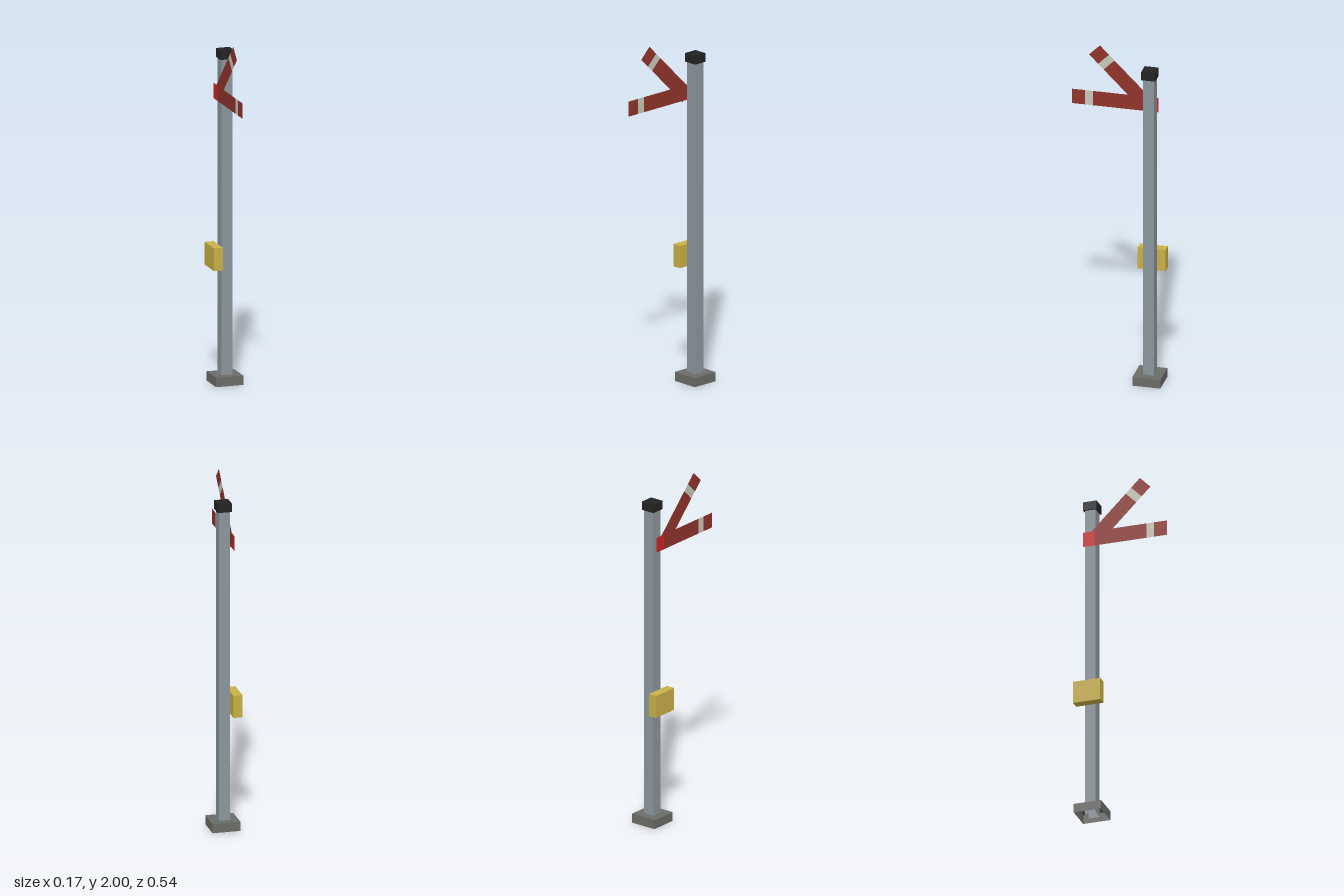
import * as THREE from 'three';

const material = (name, color, side = THREE.FrontSide) => {
  const m = new THREE.MeshStandardMaterial({ color, side });
  m.name = name;
  return m;
};

export function createModel() {
  const group = new THREE.Group();
  const cx = 0.005, cz = -0.19; // post axis
  const two = THREE.DoubleSide;
  const steel = material('postGrey', 0x8b969b, two);
  const stone = material('baseGrey', 0x6b6b67, two);
  const black = material('capBlack', 0x222222);
  const yellow = material('boxYellow', 0xc9b047);
  const darkRed = material('armDarkRed', 0x8f332b, two);
  const red = material('armEndRed', 0xd02424, two);
  const white = material('stripeWhite', 0xc9c8ba, two);

  const add = (parent, name, geometry, mat, x, y, z) => {
    const mesh = new THREE.Mesh(geometry, mat);
    mesh.name = name;
    mesh.position.set(x, y, z);
    parent.add(mesh);
    return mesh;
  };

  // Box without its bottom face
  const openBox = (w, h, d) => {
    const g = new THREE.BoxGeometry(w, h, d);
    const index = Array.from(g.index.array);
    index.splice(18, 6);
    g.setIndex(index);
    g.clearGroups();
    return g;
  };

  // Upright: hollow base, post and cap
  add(group, 'base', openBox(0.16, 0.053, 0.16), stone, cx, 0.0265, cz);
  add(group, 'post', openBox(0.064, 1.855, 0.064), steel, cx, 0.9325, cz);
  add(group, 'cap', new THREE.BoxGeometry(0.08, 0.05, 0.08), black, cx, 1.885, cz);

  // Control box beside the post
  add(group, 'controlBox', new THREE.BoxGeometry(0.052, 0.13, 0.16), yellow, -0.061, 0.73, cz);

  // Flat signal arms: each section runs along z from the pivot
  const arm = (name, x, y, angle, sections) => {
    const pivot = new THREE.Group();
    pivot.name = name;
    pivot.position.set(x, y, cz);
    pivot.rotation.x = -angle;
    for (const [part, mat, from, to] of sections) {
      const g = new THREE.PlaneGeometry(to - from, 0.088).rotateY(-Math.PI / 2);
      add(pivot, part, g, mat, 0, 0, (from + to) / 2);
    }
    group.add(pivot);
  };
  arm('levelArm', -0.052, 1.671, 0, [
    ['armEnd', red, -0.035, 0.035],
    ['armBlade', darkRed, 0.035, 0.34],
    ['armStripe', white, 0.34, 0.385],
    ['armTip', darkRed, 0.385, 0.46],
  ]);
  arm('raisedArm', -0.05, 1.638, Math.PI / 4, [
    ['armBlade', darkRed, 0.02, 0.35],
    ['armStripe', white, 0.35, 0.395],
    ['armTip', darkRed, 0.395, 0.468],
  ]);

  return group;
}
